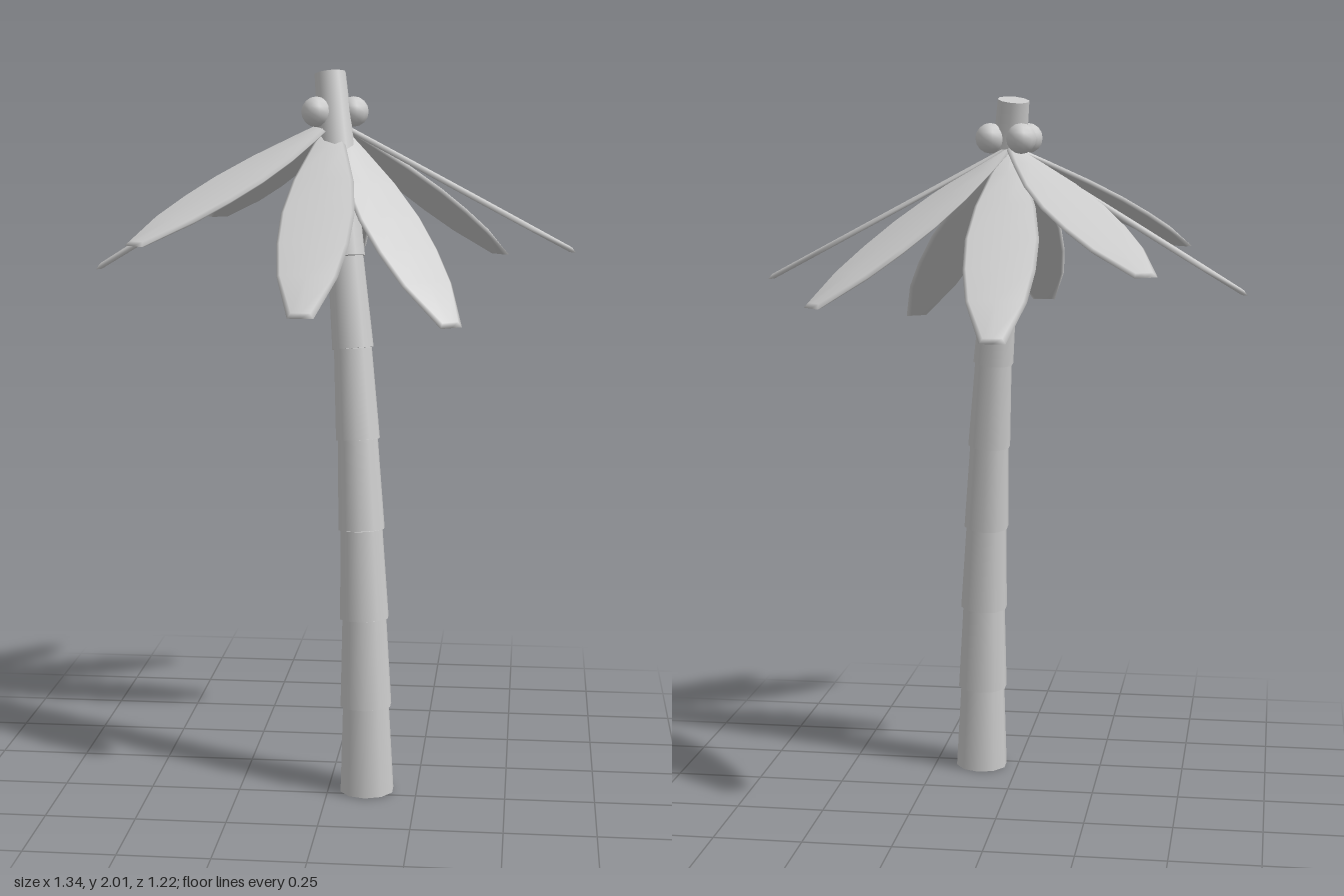
import * as THREE from 'three';
import { mergeVertices } from 'three/addons/utils/BufferGeometryUtils.js';

const material = new THREE.MeshStandardMaterial({ color: 0xcccccc });
const V = (x, y, z) => new THREE.Vector3(x, y, z);

// Trunk centre line, one point per quarter unit of height
const spine = [
  V(0.11, 0, 0.214), V(0.106, 0.25, 0.211), V(0.1, 0.5, 0.2), V(0.09, 0.75, 0.183), V(0.077, 1, 0.156),
  V(0.06, 1.25, 0.127), V(0.036, 1.5, 0.093), V(0.011, 1.75, 0.047), V(-0.017, 2, -0.004),
];

// Tapered segments, each one flaring over the narrower top of the one below
function createTrunk() {
  const trunk = new THREE.Group();
  trunk.name = 'trunk';
  for (let i = 0; i < spine.length - 1; i++) {
    const axis = spine[i + 1].clone().sub(spine[i]);
    const radius = 0.077 - 0.0036 * i;
    const segment = new THREE.Mesh(
      new THREE.CylinderGeometry(radius * 0.86, radius, axis.length(), 10), material);
    segment.position.copy(spine[i]).addScaledVector(axis, 0.5);
    segment.quaternion.setFromUnitVectors(V(0, 1, 0), axis.normalize());
    segment.name = 'trunkSegment' + (i + 1);
    trunk.add(segment);
  }
  return trunk;
}

// Flat straight frond along +z: stations give [distance, half width]
function createFrondGeometry() {
  const stations = [[0, 0.016], [0.12, 0.05], [0.25, 0.083], [0.38, 0.099], [0.5, 0.096], [0.62, 0.08], [0.77, 0.034]];
  const last = stations.length - 1;
  const geometry = new THREE.BoxGeometry(2, 2, last, 2, 2, last);
  const p = geometry.attributes.position;
  for (let i = 0; i < p.count; i++) {
    const k = Math.round(p.getZ(i) + last / 2);
    const y = p.getY(i);
    const inset = Math.abs(y) > 0.5 ? 0.009 : 0; // bevel towards both faces
    const [z, half] = stations[k];
    p.setXYZ(i, p.getX(i) * (half - inset), y * 0.007, k === last ? z - inset * 1.5 : z);
  }
  // Share corners so that the shading runs smoothly round the rim
  geometry.deleteAttribute('normal');
  geometry.deleteAttribute('uv');
  const smooth = mergeVertices(geometry);
  smooth.computeVertexNormals();
  return smooth;
}

function createFronds() {
  const fronds = new THREE.Group();
  fronds.name = 'fronds';
  const geometry = createFrondGeometry();
  const tips = [
    V(0.667, 1.505, -0.08), V(0.455, 1.46, -0.475), V(-0.045, 1.39, -0.61), V(-0.43, 1.56, -0.59),
    V(-0.667, 1.46, 0.08), V(-0.465, 1.565, 0.555), V(-0.03, 1.39, 0.605), V(0.345, 1.35, 0.44),
  ];
  tips.forEach((tip, i) => {
    const frond = new THREE.Mesh(geometry, material);
    frond.position.set(-0.008, 1.87, -0.003);
    frond.scale.z = tip.distanceTo(frond.position) / 0.77;
    frond.lookAt(tip);
    frond.name = 'frond' + (i + 1);
    fronds.add(frond);
  });
  return fronds;
}

// Three nuts clustered round the crown
function createCoconuts() {
  const coconuts = new THREE.Group();
  coconuts.name = 'coconuts';
  const geometry = new THREE.SphereGeometry(0.042, 10, 8);
  [[-0.046, -0.064], [0.048, -0.01], [-0.05, 0.047]].forEach(([x, z], i) => {
    const nut = new THREE.Mesh(geometry, material);
    nut.position.set(x, 1.895, z);
    nut.name = 'coconut' + (i + 1);
    coconuts.add(nut);
  });
  return coconuts;
}

export function createModel() {
  const model = new THREE.Group();
  model.name = 'palmTree';
  model.add(createTrunk(), createFronds(), createCoconuts());
  return model;
}
